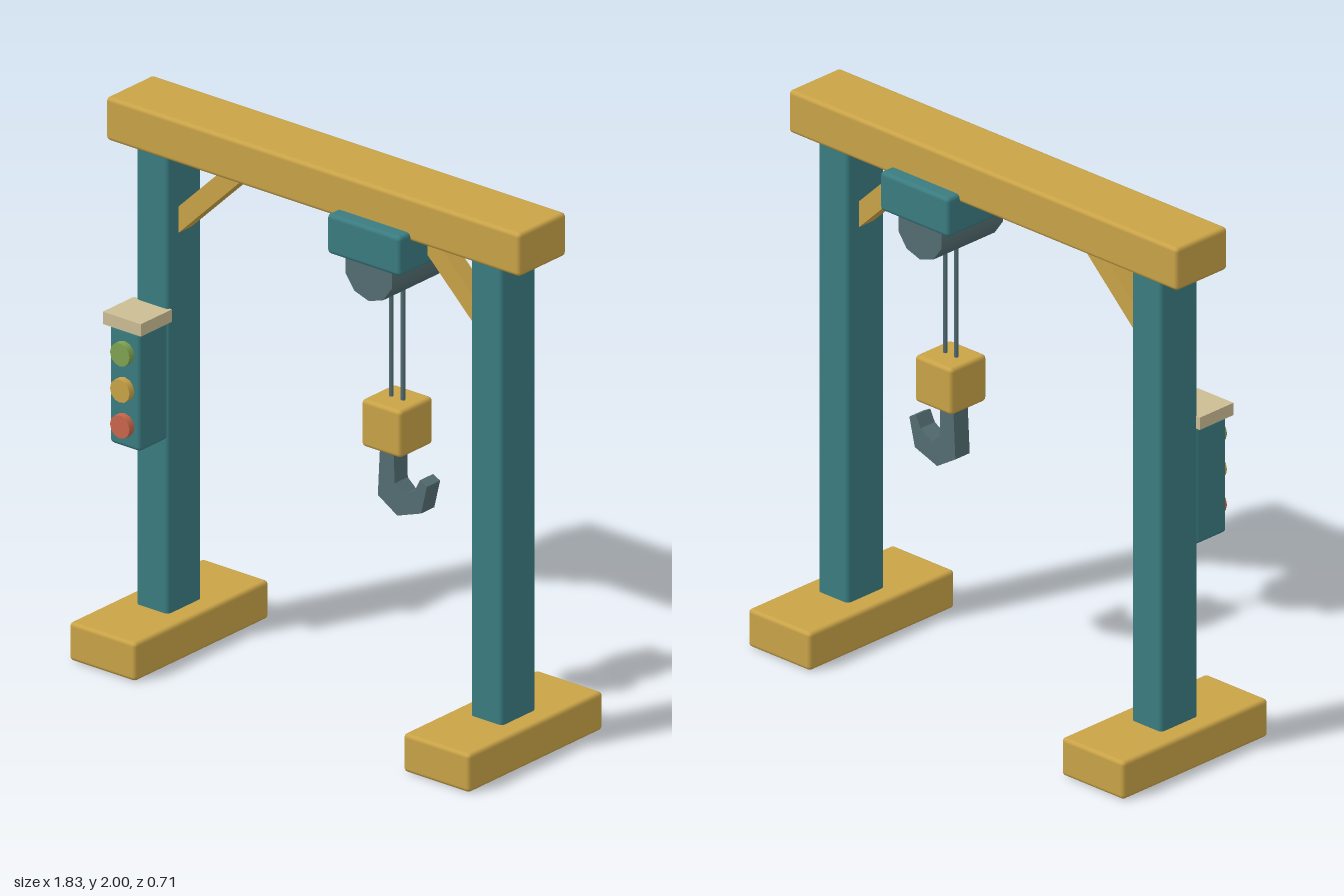
import * as THREE from 'three';
import { RoundedBoxGeometry } from 'three/addons/geometries/RoundedBoxGeometry.js';

const paint = (name, color) => {
  const m = new THREE.MeshStandardMaterial({ color });
  m.name = name;
  return m;
};

export function createModel() {
  const mustard = paint('mustard', 0xc9a347);
  const teal = paint('teal', 0x3a7c80);
  const steel = paint('steel', 0x536d72);
  const cream = paint('cream', 0xcbbd94);
  const green = paint('green', 0x7fa351);
  const red = paint('red', 0xc9654b);

  const model = new THREE.Group();
  model.name = 'gantryCrane';

  const add = (name, geometry, material, x, y, z, parent = model) => {
    const mesh = new THREE.Mesh(geometry, material);
    mesh.name = name;
    mesh.position.set(x, y, z);
    parent.add(mesh);
    return mesh;
  };
  const block = (w, h, d) => new RoundedBoxGeometry(w, h, d, 2, 0.015);

  // Overhead beam
  add('beam', block(1.83, 0.16, 0.25), mustard, 0, 1.92, 0);

  // Feet, posts and diagonal braces on both sides
  for (const s of [-1, 1]) {
    const side = s < 0 ? 'right' : 'left';
    add(side + 'Foot', block(0.294, 0.142, 0.71), mustard, s * 0.738, 0.071, 0);
    add(side + 'Post', block(0.142, 1.85, 0.18), teal, s * 0.738, 0.945, 0);
    const brace = add(side + 'Brace', new THREE.BoxGeometry(0.5, 0.07, 0.07), mustard, s * 0.572, 1.676, 0);
    brace.rotation.z = -s * 0.768;
  }

  // Hoist: trolley, drum, cables, pulley block and hook
  const hoist = new THREE.Group();
  hoist.name = 'hoist';
  hoist.position.x = 0.27;
  model.add(hoist);
  add('trolley', block(0.325, 0.147, 0.36), teal, 0, 1.798, 0, hoist);
  const drum = add('drum', new THREE.CylinderGeometry(0.107, 0.107, 0.3, 10), steel, 0, 1.69, 0, hoist);
  drum.rotation.x = Math.PI / 2;
  for (const s of [-1, 1]) {
    add('cable', new THREE.CylinderGeometry(0.008, 0.008, 0.48, 8), steel, s * 0.026, 1.4, 0, hoist);
  }
  add('pulleyBlock', block(0.175, 0.175, 0.175), mustard, 0, 1.088, 0, hoist);

  const hookOutline = [
    [-0.045, 1.02], [0.014, 1.02], [0.018, 0.875], [0.055, 0.843], [0.108, 0.875], [0.13, 0.918],
    [0.161, 0.902], [0.135, 0.796], [0.03, 0.759], [-0.056, 0.812],
  ].map(([x, y]) => new THREE.Vector2(x, y));
  const hookGeometry = new THREE.ExtrudeGeometry(new THREE.Shape(hookOutline), { depth: 0.07, bevelEnabled: false });
  add('hook', hookGeometry, steel, 0, 0, -0.035, hoist);

  // Control box with a rain cap and three buttons
  const control = new THREE.Group();
  control.name = 'controlBox';
  control.position.x = -0.742;
  model.add(control);
  add('housing', block(0.136, 0.44, 0.15), teal, 0, 1.005, 0.155, control);
  add('rainCap', new THREE.BoxGeometry(0.168, 0.046, 0.165), cream, 0, 1.247, 0.1625, control);
  [[green, 1.137], [mustard, 1.003], [red, 0.87]].forEach(([material, y]) => {
    const button = add(material.name + 'Button', new THREE.CylinderGeometry(0.043, 0.043, 0.04, 12), material, 0, y, 0.236, control);
    button.rotation.x = Math.PI / 2;
  });

  return model;
}
